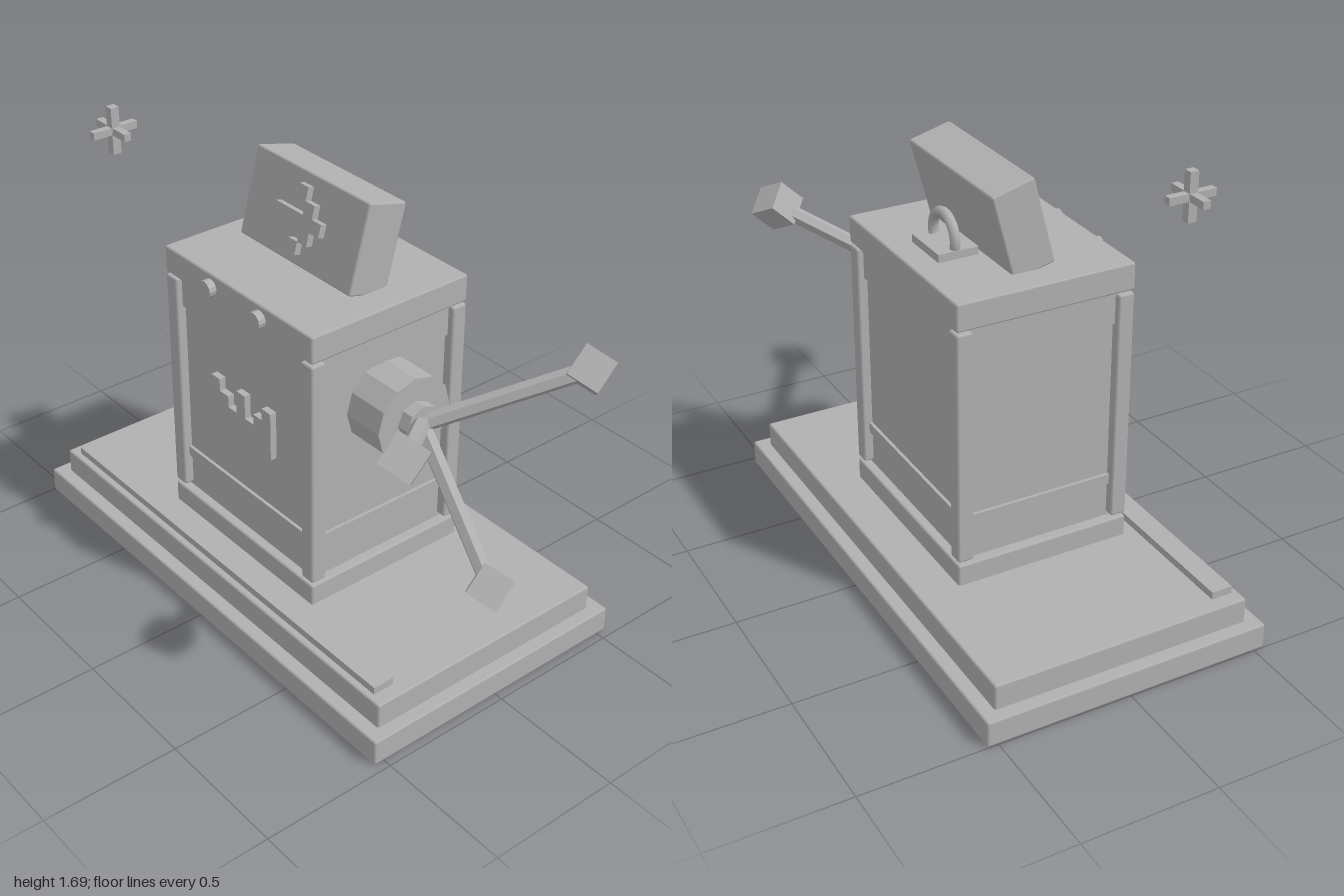
import * as THREE from 'three';
import { RoundedBoxGeometry } from 'three/addons/geometries/RoundedBoxGeometry.js';

const grey = new THREE.MeshStandardMaterial({ color: 0xb0b0b0 });
grey.name = 'plain grey';
const CX = -0.015; // the plinth and cabinet sit slightly off centre

function add(parent, name, geometry, x = 0, y = 0, z = 0) {
  const mesh = new THREE.Mesh(geometry, grey);
  mesh.name = name;
  mesh.position.set(x, y, z);
  parent.add(mesh);
  return mesh;
}

const box = (w, h, d) => new THREE.BoxGeometry(w, h, d);
const bevelBox = (w, h, d) => new RoundedBoxGeometry(w, h, d, 1, 0.008);

// Box given by its bottom and top heights
function slab(parent, name, w, y0, y1, d, x = CX, z = 0, make = bevelBox) {
  return add(parent, name, make(w, y1 - y0, d), x, (y0 + y1) / 2, z);
}

// Low-sided cylinder with flat facets and sharp rims
function facetCylinder(radius, length, sides) {
  const geometry = new THREE.CylinderGeometry(radius, radius, length, sides).toNonIndexed();
  geometry.computeVertexNormals();
  return geometry;
}

function buildPlinth(model) {
  slab(model, 'lowerPlinth', 1.97, 0, 0.098, 1.08);
  slab(model, 'upperPlinth', 1.875, 0.09, 0.192, 0.975);
  slab(model, 'frontStrip', 1.77, 0.188, 0.22, 0.08, CX, 0.422, box);
}

function buildCabinet(model) {
  const cabinet = new THREE.Group();
  cabinet.name = 'cabinet';
  cabinet.position.x = CX;
  model.add(cabinet);

  slab(cabinet, 'cabinetFoot', 0.813, 0.185, 0.272, 0.672, 0);
  slab(cabinet, 'cabinetBody', 0.74, 0.26, 1.18, 0.6, 0, 0, box);
  slab(cabinet, 'cabinetTop', 0.813, 1.166, 1.268, 0.672, 0);
  slab(cabinet, 'upperBand', 0.764, 1.043, 1.167, 0.624, 0, 0, box);
  slab(cabinet, 'lowerBand', 0.764, 0.409, 0.448, 0.624, 0, 0, box);
  for (const sx of [-1, 1]) for (const sz of [-1, 1]) {
    slab(cabinet, 'cornerPost', 0.06, 0.285, 1.157, 0.06, sx * 0.3765, sz * 0.306);
  }

  // Stepped crown plate on the front
  const heights = [0.855, 0.808, 0.765, 0.855, 0.765, 0.808, 0.855];
  const shape = new THREE.Shape();
  shape.moveTo(-0.168, 0.668);
  heights.slice().forEach((h, i) => {
    shape.lineTo(-0.168 + i * 0.048, h);
    shape.lineTo(-0.168 + (i + 1) * 0.048, h);
  });
  shape.lineTo(0.168, 0.668);
  add(cabinet, 'crownPlate', new THREE.ExtrudeGeometry(shape, { depth: 0.03, bevelEnabled: false }), 0, 0, 0.295);

  // Two knobs on the front of the top
  for (const s of [-1, 1]) {
    add(cabinet, 'knob', facetCylinder(0.032, 0.04, 12), s * 0.136, 1.218, 0.344).rotation.x = Math.PI / 2;
  }
}

function buildScreen(model) {
  const screen = new THREE.Group();
  screen.name = 'tiltedScreen';
  screen.position.set(CX, 1.417, -0.029);
  screen.rotation.x = -THREE.MathUtils.degToRad(15);
  model.add(screen);
  add(screen, 'screenCase', bevelBox(0.594, 0.325, 0.163));

  // Raised arrow built of small blocks: column, row, columns wide, rows high
  const p = 0.048;
  for (const [c, r, w, h] of [[0, 0, 5, 1], [1, 1, 1, 1], [1, -1, 1, 1], [0.5 - 0.5, 2, 1, 1], [0, -2, 1, 1]]) {
    add(screen, 'arrowBlock', box(p * w, p * h, 0.035), c * p, r * p, 0.089);
  }

  // Handle on a small foot behind the screen
  slab(model, 'handleFoot', 0.195, 1.26, 1.297, 0.15, CX - 0.003, -0.167, box);
  const ring = new THREE.TorusGeometry(0.08, 0.019, 8, 20, Math.PI + 0.6);
  ring.rotateZ(-0.3);
  add(model, 'handle', ring, CX - 0.003, 1.318, -0.17);
}

function buildCrank(model) {
  const crank = new THREE.Group();
  crank.name = 'sideCrank';
  crank.position.y = 0.89;
  model.add(crank);
  add(crank, 'drum', facetCylinder(0.157, 0.165, 12), 0.4325).rotation.z = Math.PI / 2;
  add(crank, 'axle', facetCylinder(0.072, 0.06, 8), 0.53).rotation.z = Math.PI / 2;

  // Three spokes, each ending in a cube
  for (let i = 0; i < 3; i++) {
    const a = i * Math.PI * 2 / 3;
    const start = new THREE.Vector3(0.55, 0, 0);
    const end = new THREE.Vector3(0.911, -0.46 * Math.cos(a), 0.46 * Math.sin(a));
    const dir = end.clone().sub(start);
    const spoke = add(crank, 'spoke', facetCylinder(0.031, dir.length(), 6));
    spoke.position.copy(start).add(end).multiplyScalar(0.5);
    spoke.quaternion.setFromUnitVectors(new THREE.Vector3(0, 1, 0), dir.normalize());
    const cube = add(crank, 'spokeCube', box(0.117, 0.117, 0.117), end.x, end.y, end.z);
    cube.rotation.set(Math.PI / 4, 0, -0.615);
  }
}

function buildSpark(model) {
  const spark = new THREE.Group();
  spark.name = 'floatingSpark';
  spark.position.set(-0.696, 1.606, 0.341);
  model.add(spark);
  add(spark, 'sparkUpright', box(0.032, 0.172, 0.032));
  add(spark, 'sparkCrossbar', box(0.176, 0.027, 0.027));
  add(spark, 'sparkDepthBar', box(0.027, 0.027, 0.176));
}

export function createModel() {
  const model = new THREE.Group();
  model.name = 'crankMachine';
  buildPlinth(model);
  buildCabinet(model);
  buildScreen(model);
  buildCrank(model);
  buildSpark(model);
  return model;
}
